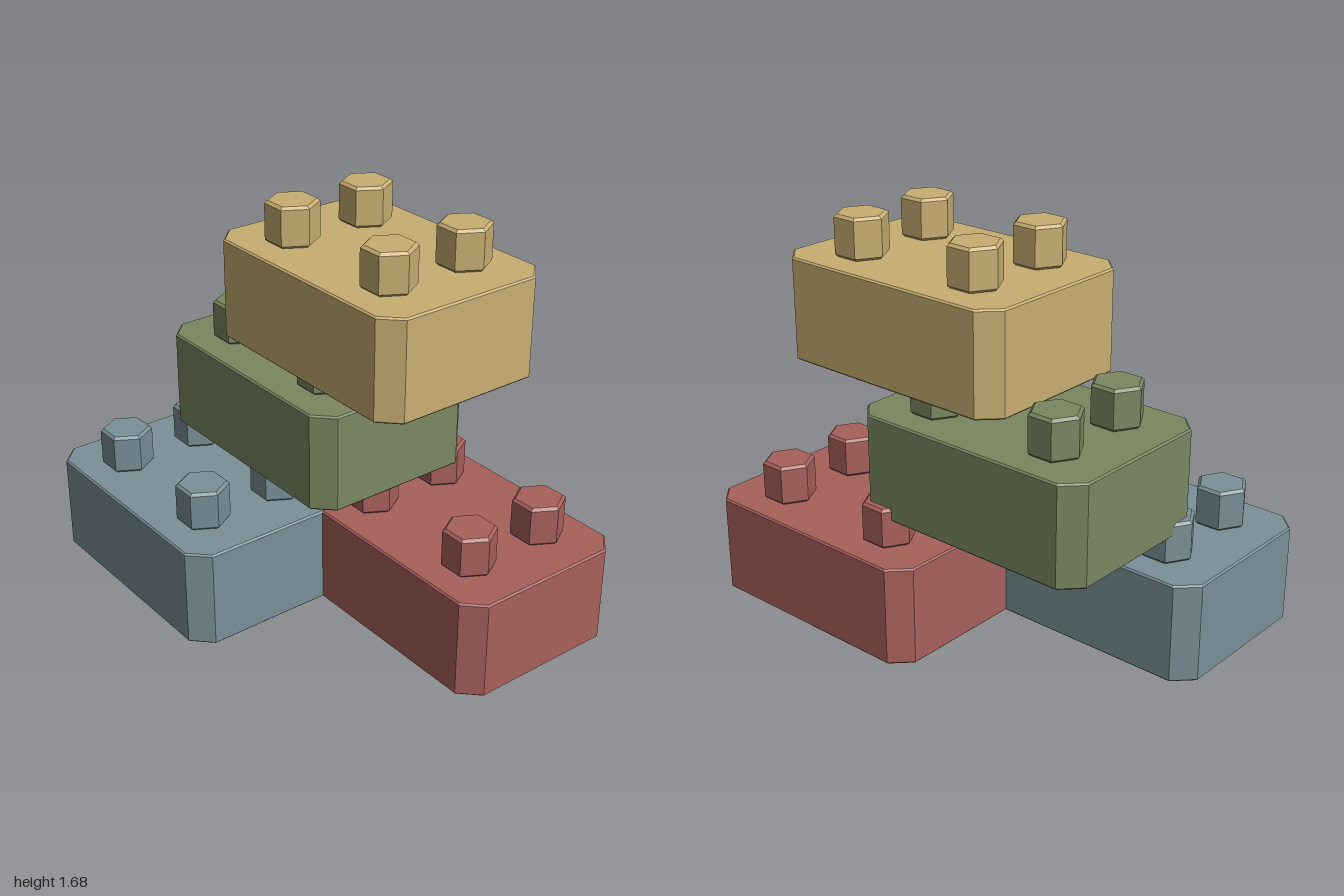
import * as THREE from 'three';

// Upright prism from a plan outline, with a small bevel kept inside the outline
function bevelledPrism(points, height, bevel) {
  const shape = new THREE.Shape(points.map(([x, z]) => new THREE.Vector2(x, z)));
  const geometry = new THREE.ExtrudeGeometry(shape, {
    depth: height - 2 * bevel,
    bevelEnabled: true,
    bevelThickness: bevel,
    bevelSize: bevel,
    bevelOffset: -bevel,
    bevelSegments: 1,
  });
  geometry.rotateX(-Math.PI / 2);
  geometry.translate(0, bevel, 0);
  return geometry;
}

export function createModel() {
  const model = new THREE.Group();
  model.name = 'brickStack';

  const W = 0.547, D = 0.391, C = 0.079; // half width, half depth, corner cut
  const H = 0.42, STUD_H = 0.17, STUD_R = 0.109;

  // Block with four cut corners
  const blockGeometry = bevelledPrism([
    [W - C, -D], [W, -D + C], [W, D - C], [W - C, D],
    [-W + C, D], [-W, D - C], [-W, -D + C], [-W + C, -D],
  ], H, 0.007);

  // Six-sided stud
  const hexagon = [];
  for (let i = 0; i < 6; i++) {
    const a = (i * Math.PI) / 3;
    hexagon.push([STUD_R * Math.cos(a), STUD_R * Math.sin(a)]);
  }
  const studGeometry = bevelledPrism(hexagon, STUD_H, 0.011);

  // Name, colour and base centre of each brick
  const bricks = [
    ['blue', 0x7a9098, -0.453, 0, 0.309],
    ['red', 0xa8615b, 0.453, 0, -0.312],
    ['green', 0x7a8861, -0.267, 0.536, -0.164],
    ['sand', 0xc8ae72, 0.118, 1.086, -0.164],
  ];

  for (const [name, color, x, y, z] of bricks) {
    const material = new THREE.MeshStandardMaterial({ color });
    material.name = name;
    const brick = new THREE.Group();
    brick.name = `${name}Brick`;
    brick.position.set(x, y, z);

    const block = new THREE.Mesh(blockGeometry, material);
    block.name = 'block';
    brick.add(block);

    // Two by two studs
    for (const sx of [-1, 1]) {
      for (const sz of [-1, 1]) {
        const stud = new THREE.Mesh(studGeometry, material);
        stud.name = 'stud';
        stud.position.set(sx * 0.293, H, sz * 0.183);
        brick.add(stud);
      }
    }
    model.add(brick);
  }
  return model;
}
